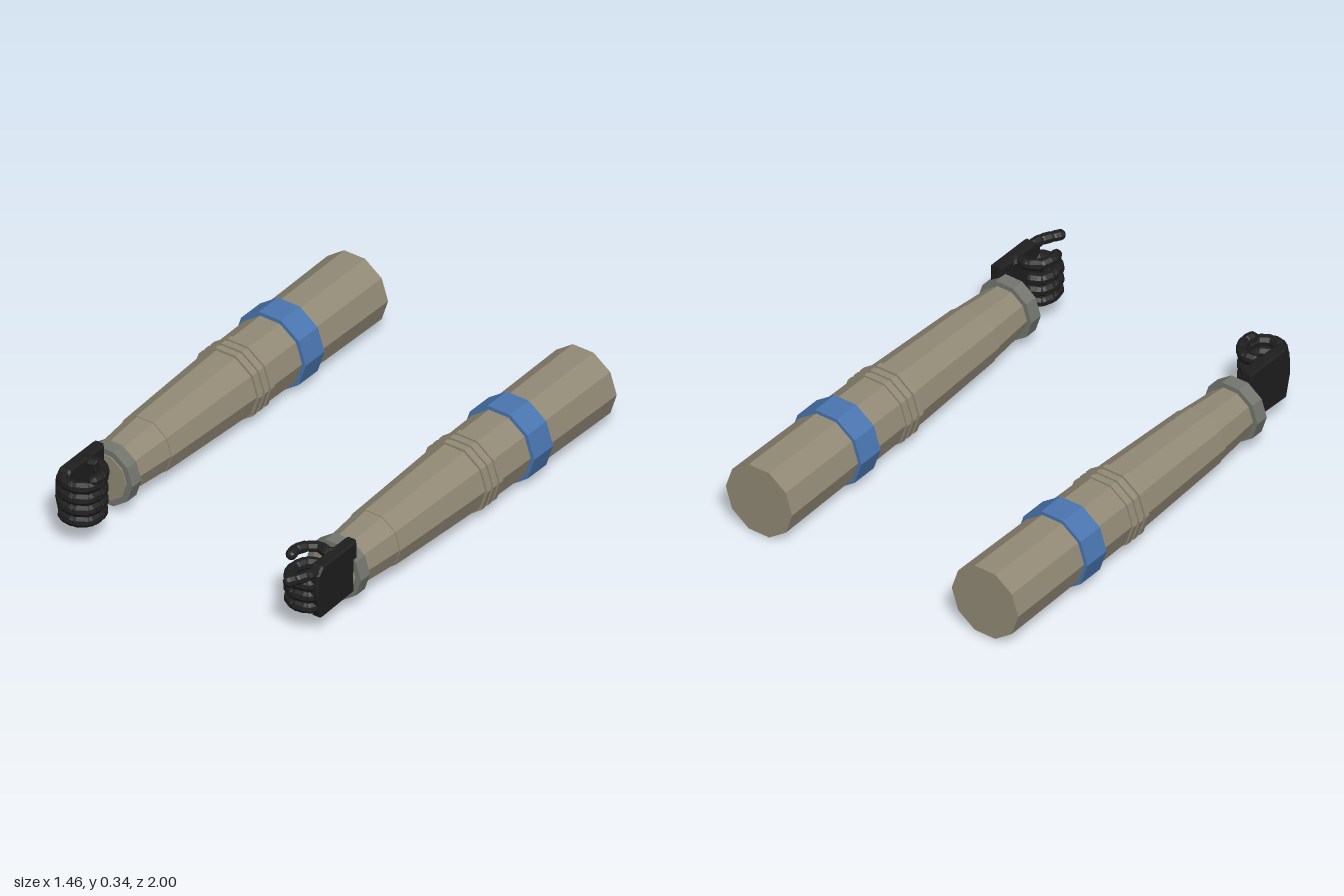
import * as THREE from 'three';

const material = (name, color) => {
  const m = new THREE.MeshStandardMaterial({ color, flatShading: true });
  m.name = name;
  return m;
};

export function createModel() {
  const tan = material('sleeve tan', 0x928a76);
  const blue = material('band blue', 0x4a76b0);
  const grey = material('cuff grey', 0x73766e);
  const black = material('glove black', 0x1e1e1e);
  const model = new THREE.Group();

  const add = (parent, name, geometry, mat) => {
    const mesh = new THREE.Mesh(geometry, mat);
    mesh.name = name;
    parent.add(mesh);
    return mesh;
  };

  // Ten-sided drum along z with corners at left and right
  const drum = (parent, name, z0, z1, r0, r1, mat) => {
    const g = new THREE.CylinderGeometry(r1, r0, z1 - z0, 10);
    g.rotateY(Math.PI / 2).rotateX(Math.PI / 2).translate(0, 0, (z0 + z1) / 2);
    return add(parent, name, g, mat);
  };

  // Chain of short padded segments through the given points
  const finger = (parent, name, points, radius) => {
    const group = new THREE.Group();
    group.name = name;
    for (let i = 0; i < points.length - 1; i++) {
      const a = new THREE.Vector3(...points[i]);
      const b = new THREE.Vector3(...points[i + 1]);
      const d = b.clone().sub(a);
      const g = new THREE.CapsuleGeometry(radius, Math.max(d.length() - radius * 0.8, 0.01), 3, 8);
      const m = add(group, name + 'Segment', g, black);
      m.position.copy(a).add(b).multiplyScalar(0.5);
      m.quaternion.setFromUnitVectors(new THREE.Vector3(0, 1, 0), d.normalize());
    }
    parent.add(group);
  };

  // Finger curl in plan (x inward negative, z forward), relative to the palm
  const curl = [[0, 0.85], [-0.02, 0.883], [-0.078, 0.892], [-0.126, 0.862],
    [-0.138, 0.806], [-0.12, 0.755], [-0.075, 0.733]];

  for (const side of [1, -1]) {
    const label = side > 0 ? 'left' : 'right';
    const arm = new THREE.Group();
    arm.name = label + 'Arm';
    arm.position.set(side * 0.555, 0.165, 0);
    model.add(arm);

    // Tapered sleeve, ribs, band and cuff
    drum(arm, 'upperSleeve', -1, -0.2, 0.163, 0.153, tan);
    drum(arm, 'lowerSleeve', -0.2, 0.38, 0.153, 0.131, tan);
    drum(arm, 'foreSleeve', 0.38, 0.648, 0.127, 0.106, tan);
    for (const z of [-0.163, -0.203, -0.243]) {
      drum(arm, 'elbowRib', z - 0.012, z + 0.012, 0.162, 0.162, tan);
    }
    drum(arm, 'armBand', -0.567, -0.443, 0.1735, 0.1735, blue);
    drum(arm, 'cuff', 0.583, 0.643, 0.133, 0.133, grey);

    // Hand: built for the left side, mirrored by coordinates for the right
    const hand = new THREE.Group();
    hand.name = label + 'Hand';
    hand.position.set(side > 0 ? 0.625 : -0.575, side > 0 ? 0 : -0.006, side > 0 ? 0 : 0.035);
    model.add(hand);

    // Palm slab, outlined in side view
    const outline = [[0.625, 0.105], [0.845, 0.095], [0.872, 0.2], [0.868, 0.29],
      [0.84, 0.318], [0.625, 0.32]].map(([z, y]) => new THREE.Vector2(-z, y));
    const palm = new THREE.ExtrudeGeometry(new THREE.Shape(outline), {
      depth: 0.036, bevelEnabled: true, bevelThickness: 0.009, bevelSize: 0.008, bevelSegments: 1,
    });
    palm.translate(0, 0, -0.018).rotateY(Math.PI / 2);
    add(hand, 'palm', palm, black);

    // Curled fingers
    const rows = [[0.24, 0.026], [0.187, 0.026], [0.135, 0.024]];
    if (side < 0) rows.unshift([0.294, 0.026]);
    for (const [y, r] of rows) {
      finger(hand, 'curledFinger', curl.map(([x, z]) => [side * x, y, z]), r);
    }
    // Left index finger reaches forward
    if (side > 0) {
      finger(hand, 'indexFinger', [[0, 0.297, 0.85], [-0.008, 0.3, 0.9],
        [-0.03, 0.298, 0.945], [-0.05, 0.297, 0.98]], 0.024);
    }
    // Thumb bends over the top of the fist
    finger(hand, 'thumb', [[0, 0.3, 0.7], [-0.03, 0.31, 0.733], [-0.08, 0.314, 0.722],
      [-0.122, 0.314, 0.75], [-0.141, 0.318, 0.8], [-0.13, 0.318, 0.845]]
      .map(([x, y, z]) => [side * x, y, z]), 0.024);
  }
  return model;
}
